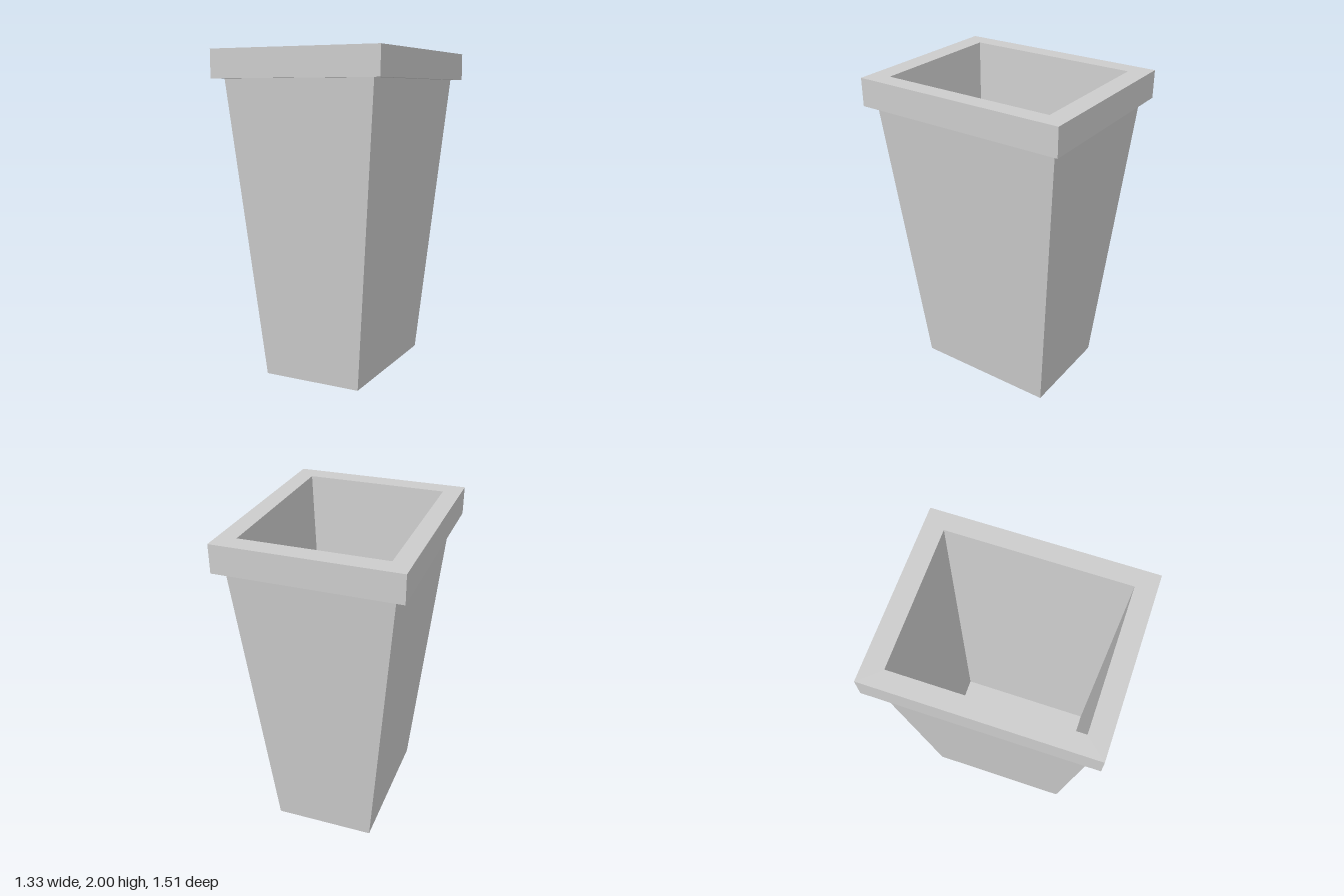
import * as THREE from 'three';

const material = new THREE.MeshStandardMaterial({ color: 0xcccccc, flatShading: true });

// Skins a stack of rectangular rings [halfWidth, halfDepth, y], listed along the surface.
// The outside faces outward when the rings run upward, inward when they run downward.
function rectLoft(name, rings, capFirst = false, capLast = false) {
  const corners = rings.map(([w, d, y]) => [[-w, y, d], [w, y, d], [w, y, -d], [-w, y, -d]]);
  const positions = [];
  const quad = (a, b, c, d) => positions.push(...a, ...b, ...c, ...a, ...c, ...d);
  for (let i = 0; i < corners.length - 1; i++) {
    const lower = corners[i], upper = corners[i + 1];
    for (let k = 0; k < 4; k++) {
      const n = (k + 1) % 4;
      quad(lower[k], lower[n], upper[n], upper[k]);
    }
  }
  if (capFirst) quad(...[...corners[0]].reverse());
  if (capLast) quad(...corners[corners.length - 1]);
  const geometry = new THREE.BufferGeometry();
  geometry.setAttribute('position', new THREE.Float32BufferAttribute(positions, 3));
  geometry.computeVertexNormals();
  const mesh = new THREE.Mesh(geometry, material);
  mesh.name = name;
  return mesh;
}

export function createModel() {
  const planter = new THREE.Group();
  planter.name = 'planter';

  const rimBottom = 1.83;
  const bodyTop = [0.482, 0.608, rimBottom];
  const opening = [0.433, 0.54, 2];

  // Tapered outer walls with a closed base
  planter.add(rectLoft('body', [[0.315, 0.455, 0], bodyTop], true));

  // Overhanging rim: underside, outer band and top face
  planter.add(rectLoft('rim', [bodyTop, [0.543, 0.661, rimBottom], [0.543, 0.661, 2], opening]));

  // Hollow interior running down to the floor
  planter.add(rectLoft('interior', [opening, [0.318, 0.452, 0.04]], false, true));

  // The planter stands turned slightly about its vertical axis
  planter.rotation.y = THREE.MathUtils.degToRad(11.4);

  const model = new THREE.Group();
  model.name = 'model';
  model.add(planter);
  return model;
}
